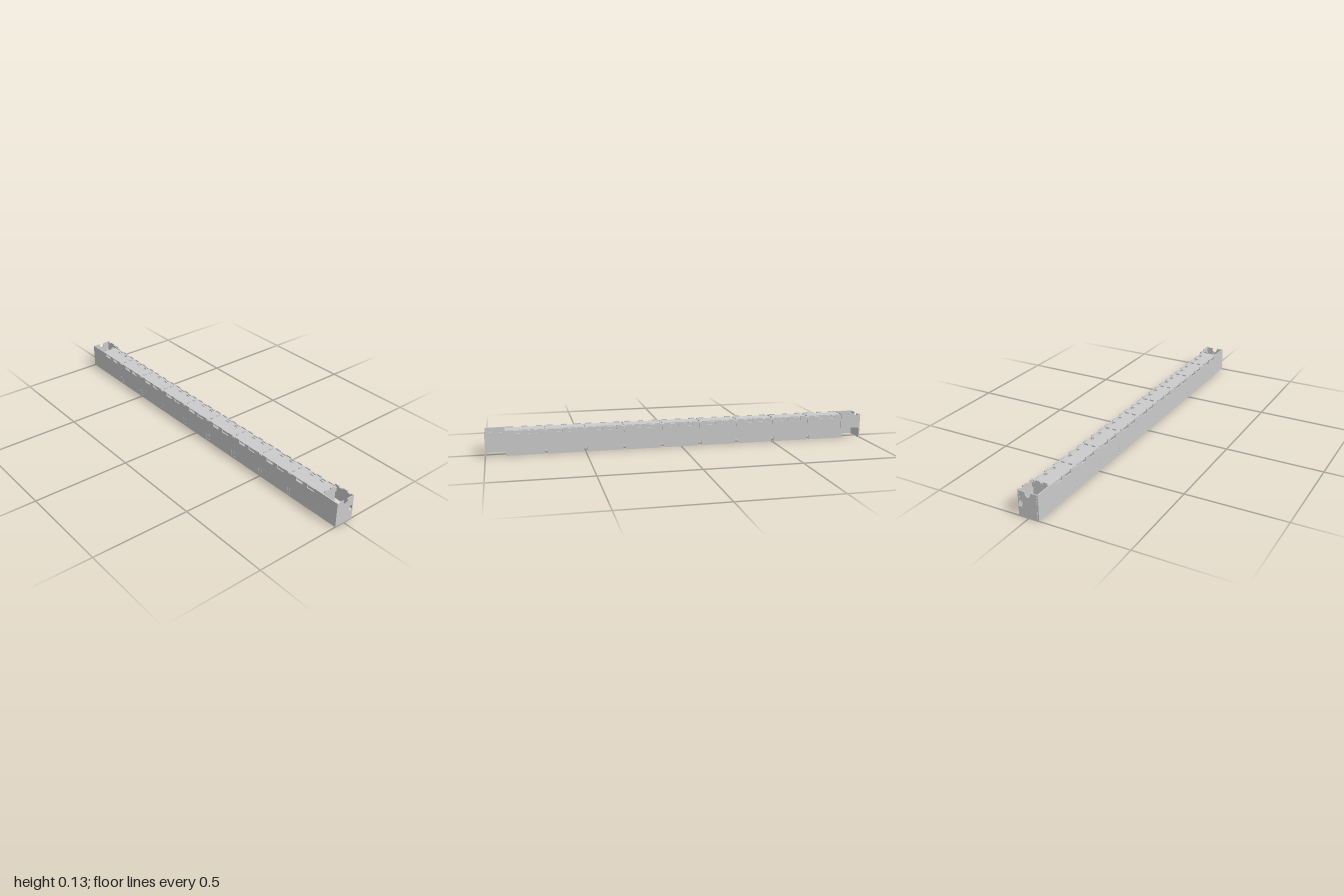
import * as THREE from 'three';

const T = 0.005; // sheet thickness
const mat = new THREE.MeshStandardMaterial({ color: 0xcccccc, flatShading: true });
const ribZ = [-0.9, -0.7, -0.5, -0.3, -0.1, 0.1, 0.3, 0.5, 0.7, 0.9];
const bayZ = [-0.8, -0.6, -0.4, -0.2, 0, 0.2, 0.4, 0.6, 0.8];

const outline = (pts) => new THREE.Shape(pts.map(([x, y]) => new THREE.Vector2(x, y)));

function rectHole(shape, cx, cy, w, h) {
  const a = w / 2, b = h / 2;
  shape.holes.push(new THREE.Path([[-a, -b], [-a, b], [a, b], [a, -b]]
    .map(([x, y]) => new THREE.Vector2(cx + x, cy + y))));
}

function roundHole(shape, cx, cy, r) {
  shape.holes.push(new THREE.Path().absarc(cx, cy, r, 0, Math.PI * 2, true));
}

function sheet(name, shape) {
  const geo = new THREE.ExtrudeGeometry(shape, { depth: T, bevelEnabled: false, curveSegments: 5 });
  const mesh = new THREE.Mesh(geo, mat);
  mesh.name = name;
  return mesh;
}

// Upright sheet in the z-y plane, occupying x0 .. x0 + T
function sideSheet(name, shape, x0) {
  const mesh = sheet(name, shape);
  mesh.geometry.rotateY(-Math.PI / 2);
  mesh.position.x = x0 + T;
  return mesh;
}

// Castellated upper edge along z, listed from +z to -z
function topEdge() {
  const pts = [];
  for (const c of [...bayZ].reverse()) {
    for (const s of [0.036, -0.036]) {
      const a = c + s + 0.022, b = c + s - 0.022;
      pts.push([a, 0.13], [a, 0.11], [b, 0.11], [b, 0.13]);
    }
    // shallow dip over each rib
    const r = c - 0.1;
    if (r > -0.85) pts.push([r + 0.012, 0.13], [r + 0.012, 0.123], [r - 0.012, 0.123], [r - 0.012, 0.13]);
  }
  return pts;
}

export function createModel() {
  const model = new THREE.Group();

  // Full-length side wall with lacing holes beside the ribs
  const long = outline([[-1, 0], [1, 0], [1, 0.128], ...topEdge(), [-1, 0.128]]);
  for (const z of ribZ.slice(1, -1)) {
    for (const y of [0.014, 0.031, 0.042]) {
      for (const s of [-0.009, 0.009]) roundHole(long, z + s, y, 0.0025);
    }
  }
  model.add(sideSheet('longWall', long, -0.053));

  // Shorter side wall with slots along the lower edge
  const lower = [[-0.9, 0]];
  for (const z of ribZ.slice(1, -1)) {
    lower.push([z - 0.007, 0], [z - 0.007, 0.025], [z + 0.007, 0.025], [z + 0.007, 0]);
  }
  lower.push([0.9, 0]);
  model.add(sideSheet('slottedWall', outline([...lower, [0.9, 0.128], ...topEdge(), [-0.9, 0.128]]), 0.037));

  // Top plate with paired windows in each bay, lying at y 0.12 .. 0.125
  const top = outline([[-0.05, -0.9], [0.042, -0.9], [0.042, 0.9], [-0.05, 0.9]]);
  for (const c of bayZ) for (const s of [-0.032, 0.032]) rectHole(top, 0.026, c + s, 0.019, 0.026);
  const plate = sheet('topPlate', top);
  plate.rotation.x = Math.PI / 2;
  plate.position.y = 0.125;
  model.add(plate);

  // Cross ribs with two upper tabs and one side tab
  const rib = outline([[-0.049, 0.032], [0.038, 0.032], [0.038, 0.095], [0.05, 0.095], [0.05, 0.118],
    [0.038, 0.118], [0.038, 0.121], [0.027, 0.121], [0.027, 0.132], [0.006, 0.132], [0.006, 0.121],
    [-0.014, 0.121], [-0.014, 0.132], [-0.033, 0.132], [-0.033, 0.121], [-0.049, 0.121]]);
  for (const z of ribZ) {
    const mesh = sheet('crossRib', rib);
    mesh.position.z = z - T / 2;
    model.add(mesh);
  }

  // End plates with an upper notch, a side notch and lacing holes
  const end = outline([[-0.053, 0], [0.052, 0], [0.052, 0.052], [0.034, 0.048], [0.033, 0.056],
    [0.027, 0.06], [0.027, 0.068], [0.033, 0.072], [0.034, 0.08], [0.052, 0.075], [0.052, 0.127],
    [0.012, 0.127], [0.016, 0.125], [0.01, 0.107], [0.005, 0.106], [0.003, 0.102], [-0.003, 0.102],
    [-0.005, 0.106], [-0.01, 0.107], [-0.016, 0.125], [-0.012, 0.127], [-0.053, 0.127]]);
  for (const y of [0.013, 0.031, 0.041, 0.085, 0.097, 0.114]) {
    roundHole(end, -0.046, y, 0.0025);
    if (y > 0.08) roundHole(end, 0.045, y, 0.0025);
  }
  // Upper side strips joining the slotted wall to the end plates
  const strip = outline([[0.89, 0.055], [1, 0.055], [1, 0.13], [0.985, 0.13], [0.985, 0.124],
    [0.965, 0.124], [0.965, 0.132], [0.935, 0.132], [0.935, 0.124], [0.912, 0.124], [0.912, 0.13], [0.89, 0.13]]);
  for (const s of [-1, 1]) {
    const mesh = sheet(s > 0 ? 'frontPlate' : 'backPlate', end);
    mesh.position.z = s > 0 ? 1 - T : -1;
    model.add(mesh);
    const side = sideSheet('endStrip', strip, 0.047);
    if (s < 0) {
      side.rotation.y = Math.PI;
      side.position.x = 0.047;
    }
    model.add(side);
  }
  return model;
}
